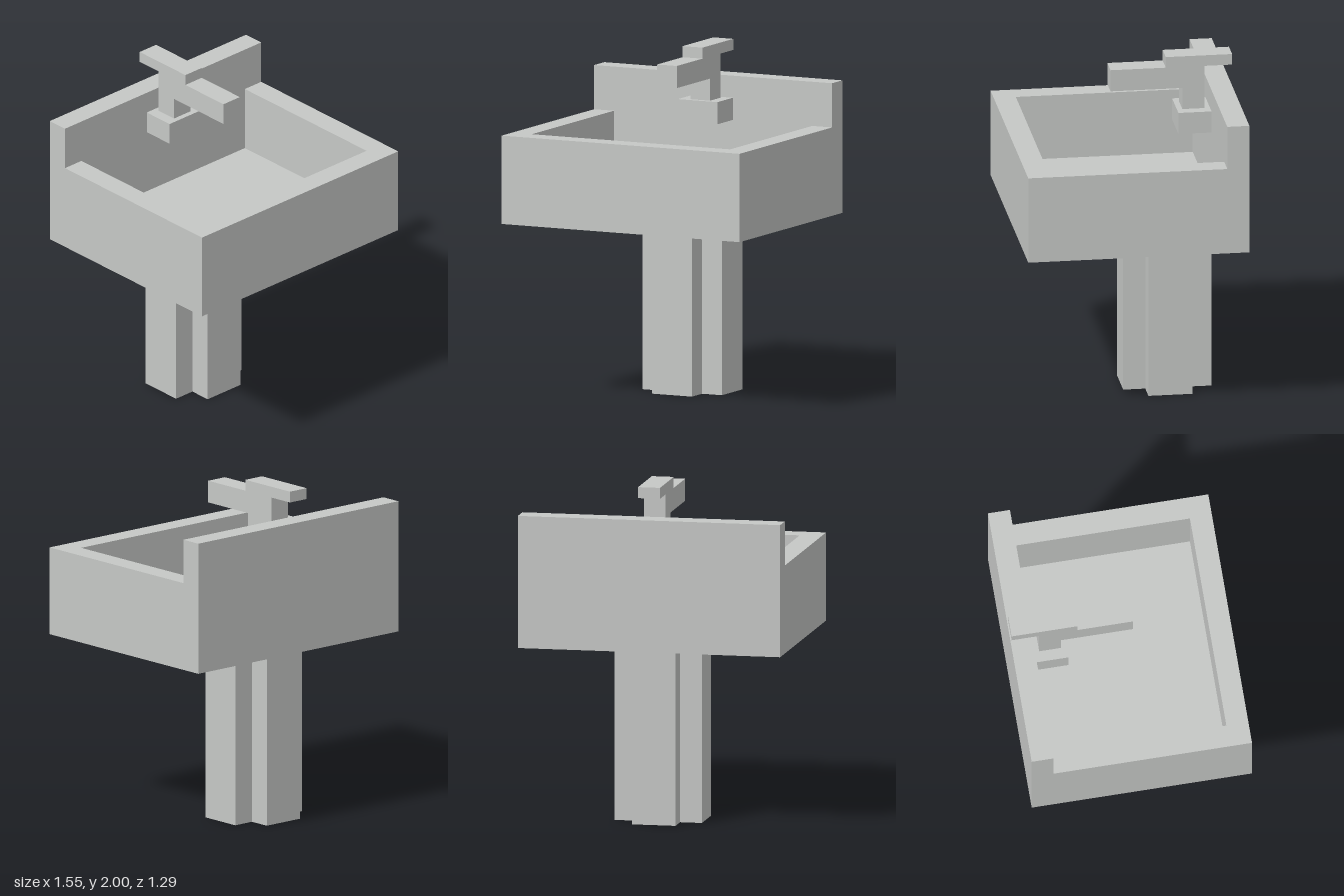
import * as THREE from 'three';

const U = 2 / 31; // the design sits on a grid of 31 steps in height

const toShape = (pts) => new THREE.Shape(pts.map(([a, b]) => new THREE.Vector2(a * U, b * U)));
const rect = (x, y) => [[-x, -y], [x, -y], [x, y], [-x, y]];

// Plan outline (x, -z) raised from y0 to y1
function upright(shape, y0, y1) {
  const geo = new THREE.ExtrudeGeometry(shape, { depth: (y1 - y0) * U, bevelEnabled: false });
  return geo.rotateX(-Math.PI / 2).translate(0, y0 * U, 0);
}

// Box given by its limits in grid steps
function block(x0, x1, y0, y1, z0, z1) {
  const geo = new THREE.BoxGeometry((x1 - x0) * U, (y1 - y0) * U, (z1 - z0) * U);
  return geo.translate((x0 + x1) * U / 2, (y0 + y1) * U / 2, (z0 + z1) * U / 2);
}

export function createModel() {
  const model = new THREE.Group();
  model.name = 'sink';
  const ceramic = new THREE.MeshStandardMaterial({ color: 0xc6c8c6 });
  ceramic.name = 'lightGrey';

  const add = (name, geo) => {
    const mesh = new THREE.Mesh(geo, ceramic);
    mesh.name = name;
    model.add(mesh);
  };

  // Pedestal with a cross-shaped section, set towards the back
  const cross = [
    [-2, 0], [2, 0], [2, 2], [4, 2], [4, 6], [2, 6],
    [2, 8], [-2, 8], [-2, 6], [-4, 6], [-4, 2], [-2, 2],
  ];
  add('pedestal', upright(toShape(cross), 0, 16));

  // Open basin: four walls and a floor
  const rim = toShape(rect(12, 10));
  rim.holes.push(toShape(rect(10, 8)));
  add('basinWalls', upright(rim, 16, 24));
  add('basinFloor', block(-10, 10, 16, 18, -8, 8));

  // Raised back edge
  add('backsplash', block(-12, 12, 24, 28, -10, -8));

  // Tap: foot fixed to the backsplash, then stem, spout and handle as one side profile (z, y)
  add('tapFoot', block(-2, 2, 24, 26, -8, -5));
  const profile = [
    [-7.5, 26], [-5.5, 26], [-5.5, 28], [1, 28], [1, 30],
    [-4, 30], [-4, 31], [-10, 31], [-10, 30], [-7.5, 30],
  ];
  const tap = new THREE.ExtrudeGeometry(toShape(profile), { depth: 2 * U, bevelEnabled: false });
  add('tapSpoutAndHandle', tap.translate(0, 0, -U).rotateY(-Math.PI / 2));

  return model;
}
